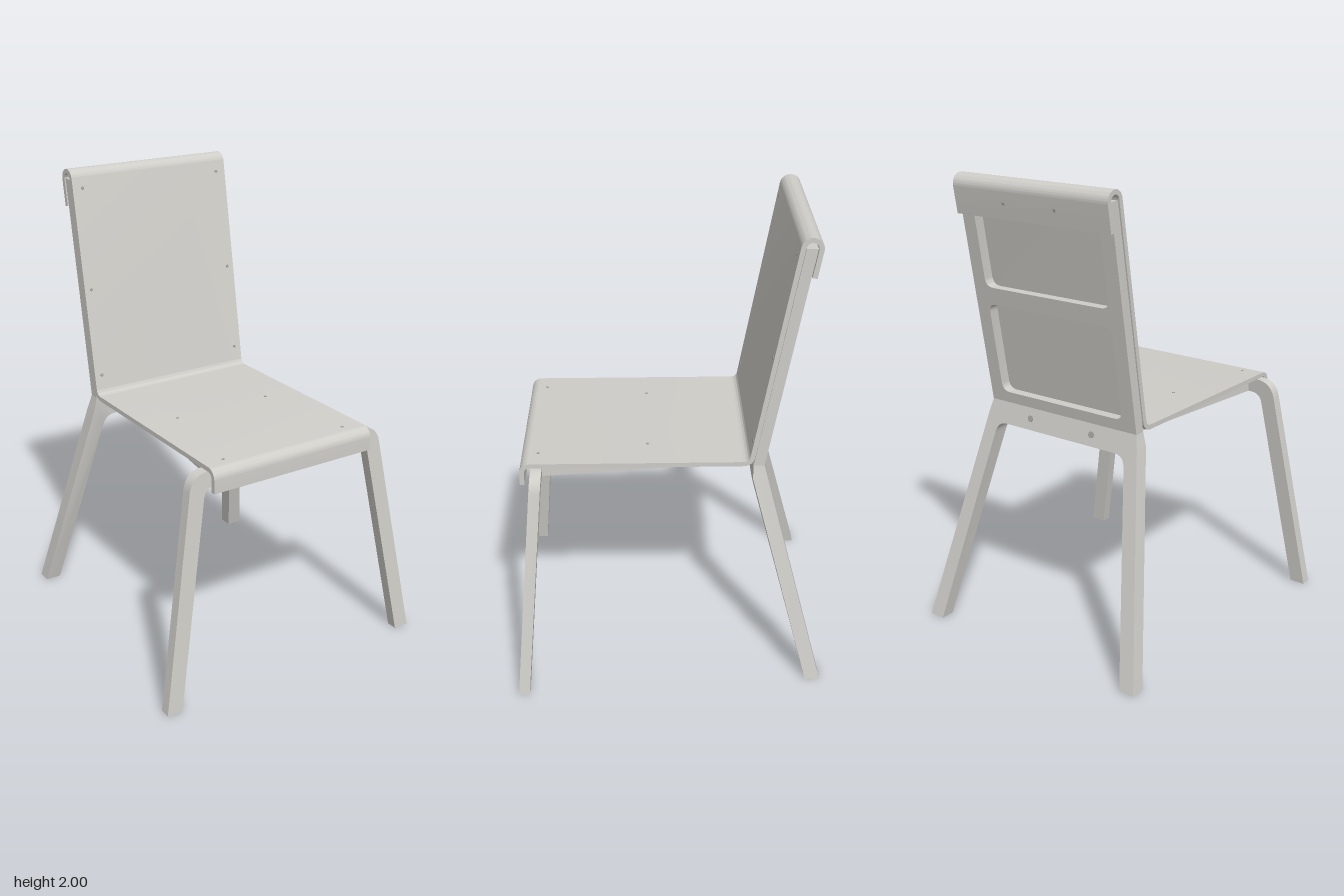
import * as THREE from 'three';
import { toCreasedNormals } from 'three/addons/utils/BufferGeometryUtils.js';

const grey = new THREE.MeshStandardMaterial({ color: 0xcfcdc8 });
grey.name = 'warm grey';
const steel = new THREE.MeshStandardMaterial({ color: 0xa3a29f });
steel.name = 'screw grey';

const SLOPE = 0.176; // backward lean of the backrest
const lean = Math.atan(SLOPE);

function add(group, name, geometry, material = grey) {
  const mesh = new THREE.Mesh(geometry, material);
  mesh.name = name;
  group.add(mesh);
  return mesh;
}

// Extrudes a front silhouette between two depth profiles z = back(y) and z = front(y)
function slantedPanel(shape, back, front) {
  const g = new THREE.ExtrudeGeometry(shape, { depth: 1, bevelEnabled: false, curveSegments: 8 });
  const p = g.attributes.position;
  for (let i = 0; i < p.count; i++) {
    const y = p.getY(i);
    p.setZ(i, THREE.MathUtils.lerp(back(y), front(y), p.getZ(i)));
  }
  return toCreasedNormals(g, 0.5);
}

// Closes a half outline (x >= 0) with its mirror image
function mirrored(path) {
  const half = path.getPoints(8);
  const other = half.filter(v => v.x > 0.001).reverse().map(v => new THREE.Vector2(-v.x, v.y));
  return new THREE.Shape([...half, ...other]);
}

function roundedRect(target, x0, y0, x1, y1, r) {
  target.moveTo(x0 + r, y0);
  target.lineTo(x1 - r, y0);
  target.quadraticCurveTo(x1, y0, x1, y0 + r);
  target.lineTo(x1, y1 - r);
  target.quadraticCurveTo(x1, y1, x1 - r, y1);
  target.lineTo(x0 + r, y1);
  target.quadraticCurveTo(x0, y1, x0, y1 - r);
  target.lineTo(x0, y0 + r);
  target.quadraticCurveTo(x0, y0, x0 + r, y0);
  return target;
}

// Bent sheet: front lip, seat, backrest and the hook over the top, as one (z, y) strip
function sheetGeometry() {
  const path = new THREE.Path();
  path.moveTo(0.615, 0.92);
  path.lineTo(0.615, 0.977);
  path.absarc(0.582, 0.977, 0.033, 0, Math.PI / 2, false);
  path.lineTo(-0.305, 1.01);
  path.quadraticCurveTo(-0.341, 1.01, -0.347, 1.045);
  path.absarc(-0.542, 1.955, 0.035, lean, lean + Math.PI, false);
  path.lineTo(-0.5565, 1.836);
  const mid = path.getPoints(14).filter((v, i, a) => i === 0 || v.distanceTo(a[i - 1]) > 1e-4);
  const side = offset => mid.map((v, i) => {
    const a = mid[Math.max(i - 1, 0)], b = mid[Math.min(i + 1, mid.length - 1)];
    // average of the two neighbouring segment directions
    const d1 = v.clone().sub(a).normalize(), d2 = b.clone().sub(v).normalize();
    const t = d1.add(d2).normalize();
    return new THREE.Vector2(v.x + t.y * offset, v.y - t.x * offset);
  });
  const shape = new THREE.Shape([...side(0.01), ...side(-0.01).reverse()]);
  const g = new THREE.ExtrudeGeometry(shape, { depth: 0.784, bevelEnabled: false });
  g.rotateY(-Math.PI / 2);
  g.translate(0.392, 0, 0);
  return toCreasedNormals(g, 0.5);
}

// Tapered beam under the seat, running diagonally from front to back
function beamGeometry(side) {
  const g = new THREE.BoxGeometry(0.095, 1, 1);
  const p = g.attributes.position;
  for (let i = 0; i < p.count; i++) {
    const t = p.getZ(i) + 0.5; // 0 at the back, 1 at the front
    const top = p.getY(i) > 0;
    p.setXYZ(i,
      p.getX(i) + side * THREE.MathUtils.lerp(0.163, 0.298, t),
      top ? 1.0 : THREE.MathUtils.lerp(0.91, 0.935, t),
      THREE.MathUtils.lerp(-0.352, 0.535, t));
  }
  g.computeVertexNormals();
  return g;
}

export function createModel() {
  const chair = new THREE.Group();
  chair.name = 'chair';

  add(chair, 'seatAndBackSheet', sheetGeometry());

  // Front legs joined by a crossbar
  const frontHalf = new THREE.Path();
  frontHalf.moveTo(0, 1.0);
  frontHalf.lineTo(0.395, 1.0);
  frontHalf.bezierCurveTo(0.44, 0.998, 0.47, 0.975, 0.479, 0.925);
  frontHalf.lineTo(0.64, 0);
  frontHalf.lineTo(0.57, 0);
  frontHalf.lineTo(0.414, 0.89);
  frontHalf.quadraticCurveTo(0.406, 0.935, 0.36, 0.935);
  frontHalf.lineTo(0, 0.935);
  add(chair, 'frontLegs', slantedPanel(mirrored(frontHalf),
    y => 0.615 - 0.085 * y, y => 0.662 - 0.085 * y));

  // Rear legs joined by a crossbar
  const rearHalf = new THREE.Path();
  rearHalf.moveTo(0, 1.0);
  rearHalf.lineTo(0.387, 1.0);
  rearHalf.quadraticCurveTo(0.392, 0.975, 0.401, 0.94);
  rearHalf.lineTo(0.57, 0);
  rearHalf.lineTo(0.5, 0);
  rearHalf.lineTo(0.35, 0.86);
  rearHalf.quadraticCurveTo(0.341, 0.908, 0.295, 0.908);
  rearHalf.lineTo(0, 0.908);
  add(chair, 'rearLegs', slantedPanel(mirrored(rearHalf),
    y => -0.661 + 0.264 * y, y => Math.min(-0.598 + 0.2725 * y, -0.35)));

  // Back frame with two windows
  const frame = new THREE.Shape([[-0.387, 1], [0.387, 1], [0.387, 1.955], [-0.387, 1.955]]
    .map(([x, y]) => new THREE.Vector2(x, y)));
  for (const [y0, y1] of [[1.05, 1.45], [1.525, 1.875]]) {
    frame.holes.push(roundedRect(new THREE.Path(), -0.322, y0, 0.322, y1, 0.04));
  }
  const frameBack = y => -0.397 - SLOPE * (y - 1);
  add(chair, 'backFrame', slantedPanel(frame, frameBack, y => frameBack(y) + 0.046));

  // Screw heads; tilt turns the head's axis from up towards the front
  const screw = (name, x, y, z, tilt, r = 0.007) => {
    const m = add(chair, name, new THREE.CylinderGeometry(r, r, 0.005, 12), steel);
    m.position.set(x, y, z);
    m.rotation.x = tilt;
  };
  for (const s of [-1, 1]) {
    add(chair, 'seatBeam', beamGeometry(s));
    for (const [x, y] of [[0.345, 1.92], [0.36, 1.485], [0.358, 1.105]]) {
      screw('backScrew', s * x, y, -0.331 - SLOPE * (y - 1.01), Math.PI / 2 - lean);
    }
    for (const [x, z] of [[0.23, 0.09], [0.3, 0.55]]) screw('seatScrew', s * x, 1.0185, z, 0);
    screw('hookScrew', s * 0.13, 1.9, -0.578, -Math.PI / 2 - lean);
    screw('crossbarBolt', s * 0.165, 0.955, -0.409, -Math.PI / 2 + Math.atan(0.264), 0.014);
  }
  return chair;
}
